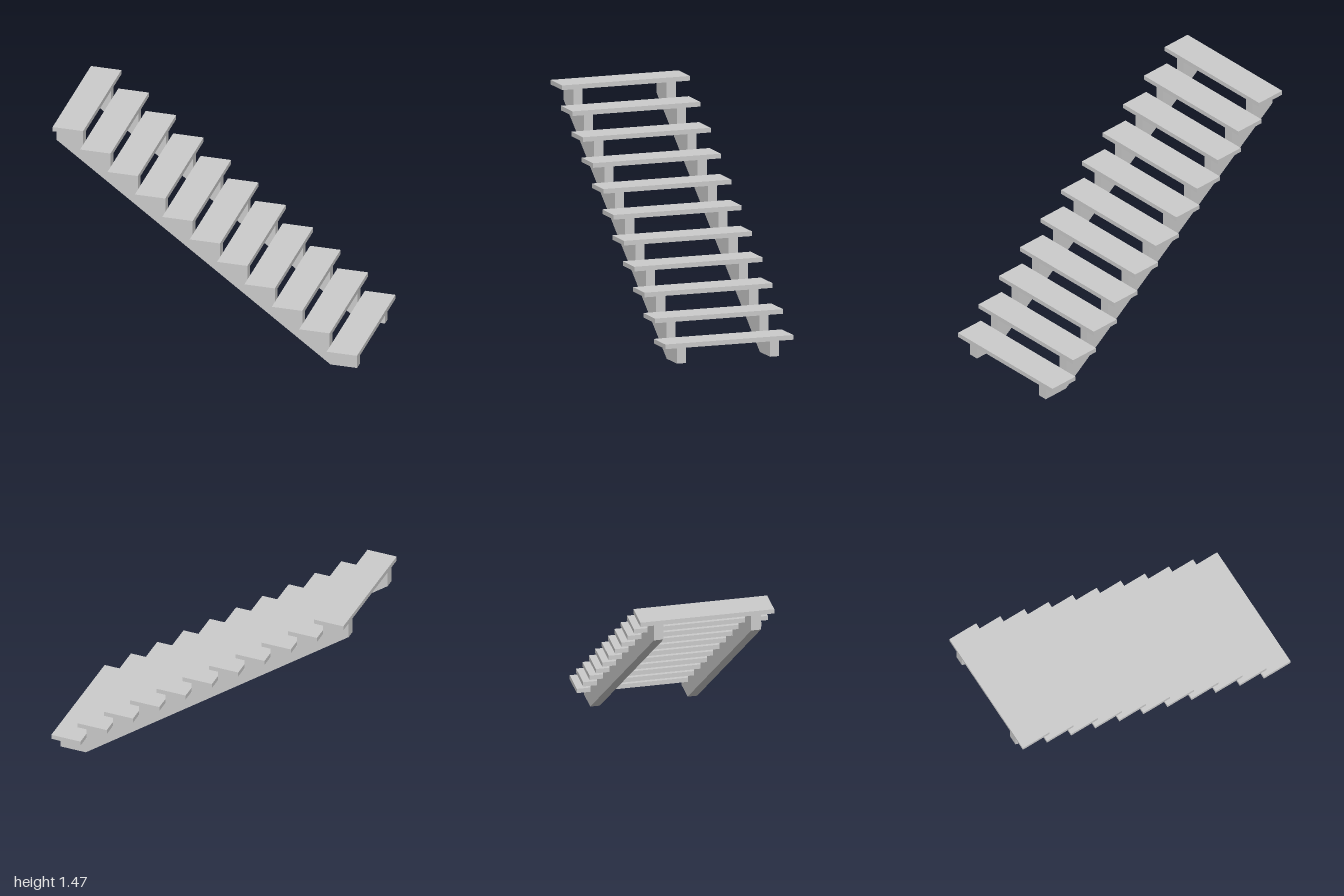
import * as THREE from 'three';

const STEPS = 11, RUN = 0.18, RISE = 0.1337;
const TREAD = { depth: 0.2, thick: 0.03, width: 0.866 };
const FIRST_Y = 0.104; // underside of the lowest tread
const STRINGER = { thick: 0.062, z: 0.315, front: 0.975 };

export function createModel() {
  const group = new THREE.Group();
  group.name = 'staircase';
  const material = new THREE.MeshStandardMaterial({ color: 0xcccccc, flatShading: true });

  // Treads
  const treadGeo = new THREE.BoxGeometry(TREAD.depth, TREAD.thick, TREAD.width);
  for (let i = 0; i < STEPS; i++) {
    const tread = new THREE.Mesh(treadGeo, material);
    tread.name = `tread${i + 1}`;
    tread.position.set(1 - TREAD.depth / 2 - i * RUN, FIRST_Y + TREAD.thick / 2 + i * RISE, 0);
    group.add(tread);
  }

  // Sawtooth stringer outline: sloped underside, then notches under each tread
  const outline = new THREE.Shape();
  outline.moveTo(-1, 1.337);
  outline.lineTo(0.8, 0);
  outline.lineTo(STRINGER.front, 0);
  for (let i = 0; i < STEPS; i++) {
    const x = STRINGER.front - i * RUN, y = FIRST_Y + i * RISE;
    outline.lineTo(x, y);
    outline.lineTo(Math.max(x - RUN, -1), y);
  }
  outline.closePath();
  const stringerGeo = new THREE.ExtrudeGeometry(outline, { depth: STRINGER.thick, bevelEnabled: false });
  stringerGeo.translate(0, 0, -STRINGER.thick / 2);

  // One stringer near each end of the treads
  for (const [name, side] of [['frontStringer', 1], ['backStringer', -1]]) {
    const stringer = new THREE.Mesh(stringerGeo, material);
    stringer.name = name;
    stringer.position.z = side * STRINGER.z;
    group.add(stringer);
  }
  return group;
}
